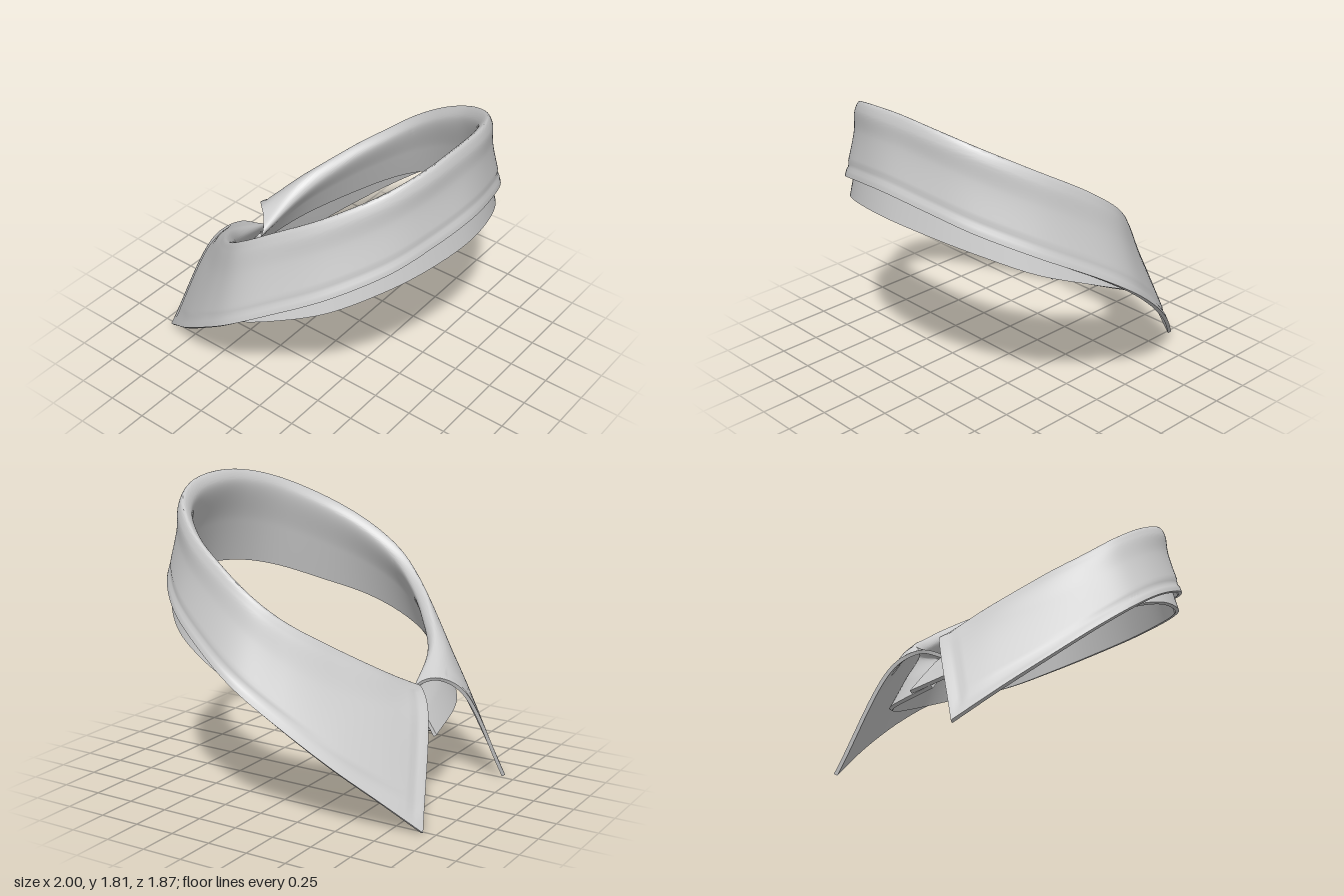
import * as THREE from 'three';
import { toCreasedNormals } from 'three/addons/utils/BufferGeometryUtils.js';

const V = (x, y, z) => new THREE.Vector3(x, y, z);
const list = rows => rows.map(p => V(...p));

// Stations run from the nape (+z) round one side to the throat (-z).
const crest = list([[0, 1.8, 0.825], [0.28, 1.775, 0.795], [0.52, 1.7, 0.68], [0.71, 1.57, 0.46], [0.8, 1.43, 0.22],
  [0.815, 1.28, 0], [0.74, 1.14, -0.18], [0.58, 1.0, -0.36], [0.33, 0.83, -0.53], [0.03, 0.67, -0.6]]);
const leafEdge = list([[0, 1.37, 0.935], [0.3, 1.33, 0.885], [0.56, 1.255, 0.78], [0.8, 1.125, 0.55], [0.95, 0.96, 0.25],
  [1, 0.8, 0], [0.94, 0.61, -0.25], [0.82, 0.39, -0.51], [0.67, 0.185, -0.74], [0.53, 0, -0.935]]);
const standEdge = list([[0, 1.21, 0.91], [0.3, 1.185, 0.86], [0.54, 1.12, 0.74], [0.76, 1.01, 0.53], [0.9, 0.91, 0.27],
  [0.94, 0.8, 0.02], [0.88, 0.69, -0.2], [0.7, 0.565, -0.42], [0.4, 0.45, -0.62], [-0.07, 0.39, -0.71]]);
const bulge = [0, 0, 0, 0, 0, 0, 0, 0.1, 0.45, 1];

// Cross-section at a station: stand bottom, over the fold, down to the leaf edge
function section(i) {
  const c = crest[i], s = standEdge[i], f = leafEdge[i];
  const out = V(c.x, 0, c.z - 0.1).normalize();
  const inner = c.clone().addScaledVector(out, -0.05).add(V(i === 9 ? -0.08 : 0, -0.06, 0));
  const outer = c.clone().addScaledVector(out, 0.03).add(V(0, -0.05, 0))
    .addScaledVector(V(0.07, 0.07, -0.05), bulge[i]);
  const middle = c.clone().lerp(f, 0.4).addScaledVector(V(-0.01, 0.2, -0.055), bulge[i]);
  return [s, s.clone().lerp(inner, 0.5), inner, c, outer, middle, f];
}

// Mirror to the other side, whose stand end laps over the outside
function mirrored(i) {
  const lap = i === 9 ? 0.04 : i === 8 ? 0.015 : 0;
  return section(i).map((p, k) => V(-p.x, p.y, p.z - (k < 3 ? lap : 0)));
}

// Folded sheet with thickness, swept round the neck
function foldedSheet(nu, nv, thickness) {
  const stations = [];
  for (let i = 9; i > 0; i--) stations.push(mirrored(i));
  for (let i = 0; i < 10; i++) stations.push(section(i));
  const rails = stations[0].map((_, k) =>
    new THREE.CatmullRomCurve3(stations.map(s => s[k]), false, 'catmullrom', 0.5));

  const grid = [];
  for (let i = 0; i <= nu; i++) {
    const curve = new THREE.CatmullRomCurve3(rails.map(r => r.getPoint(i / nu)));
    grid.push(Array.from({ length: nv + 1 }, (_, j) => curve.getPoint(j / nv)));
  }

  // Each ring goes down the visible face and back along the hidden face
  const positions = [], index = [], ring = 2 * (nv + 1);
  for (let i = 0; i <= nu; i++) {
    const face = [], back = [];
    for (let j = 0; j <= nv; j++) {
      const du = grid[Math.min(i + 1, nu)][j].clone().sub(grid[Math.max(i - 1, 0)][j]);
      const dv = grid[i][Math.min(j + 1, nv)].clone().sub(grid[i][Math.max(j - 1, 0)]);
      const n = dv.cross(du).normalize();
      const p = grid[i][j];
      // Stitched groove a little inside the leaf's edges
      const rim = Math.min(p.distanceTo(grid[i][nv]), p.distanceTo(grid[0][j]), p.distanceTo(grid[nu][j]));
      const groove = j > nv * 0.72 ? 0.009 * Math.exp(-(((rim - 0.065) / 0.016) ** 2)) : 0;
      face.push(p.clone().addScaledVector(n, -groove));
      back.unshift(p.clone().addScaledVector(n, -thickness));
    }
    [...face, ...back].forEach(p => positions.push(p.x, p.y, p.z));
  }
  for (let i = 0; i < nu; i++) {
    for (let k = 0; k < ring; k++) {
      const k2 = (k + 1) % ring;
      const a = i * ring + k, b = i * ring + k2, c = a + ring, d = b + ring;
      index.push(a, b, c, b, d, c);
    }
  }
  // End caps
  for (let j = 0; j < nv; j++) {
    const p = j, q = j + 1, p2 = ring - 1 - j, q2 = p2 - 1, e = nu * ring;
    index.push(p, p2, q, q, p2, q2);
    index.push(e + p, e + q, e + p2, e + q, e + q2, e + p2);
  }
  const geometry = new THREE.BufferGeometry();
  geometry.setAttribute('position', new THREE.Float32BufferAttribute(positions, 3));
  geometry.setIndex(index);
  return toCreasedNormals(geometry, 0.8);
}

export function createModel() {
  const group = new THREE.Group();
  group.name = 'shirtCollar';
  const material = new THREE.MeshStandardMaterial({ color: 0xcccccc, side: THREE.DoubleSide });
  const collar = new THREE.Mesh(foldedSheet(198, 90, 0.022), material);
  collar.name = 'foldedCollar';
  group.add(collar);
  return group;
}
